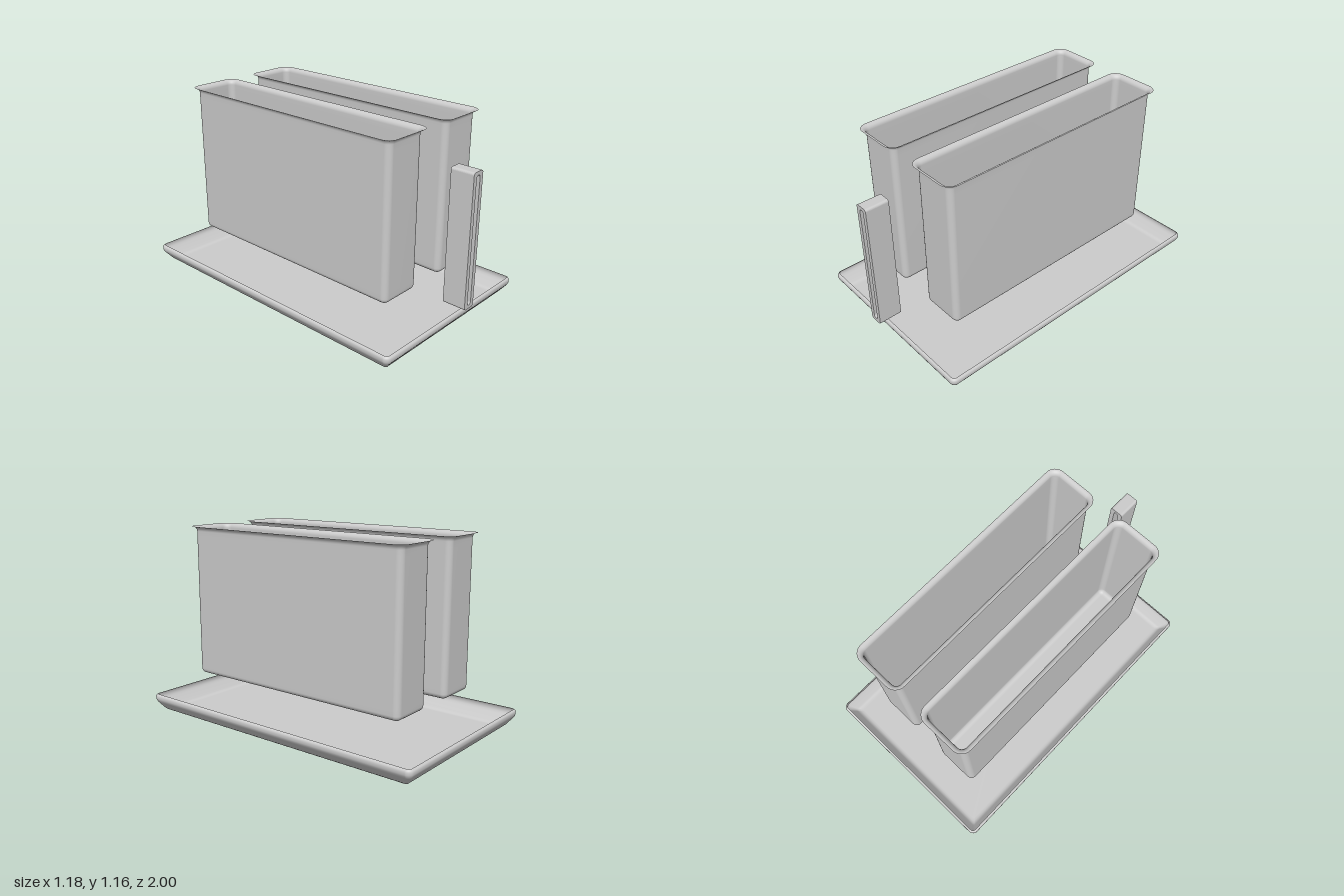
import * as THREE from 'three';

const material = new THREE.MeshStandardMaterial({ color: 0xcccccc, side: THREE.DoubleSide });

// Rounded rectangle outline, counter-clockwise
function roundedRect(halfW, halfH, radius, steps = 8) {
  const points = [];
  const centres = [[1, 1], [-1, 1], [-1, -1], [1, -1]];
  centres.forEach(([sx, sy], corner) => {
    for (let i = 0; i <= steps; i++) {
      const a = (corner + i / steps) * Math.PI / 2;
      points.push(new THREE.Vector2(
        sx * (halfW - radius) + radius * Math.cos(a),
        sy * (halfH - radius) + radius * Math.sin(a)));
    }
  });
  return points;
}

// Thin open vessel: rounded-rectangle rings along a [inset, y] profile, closed at the base
function vessel(halfW, halfD, radius, profile) {
  const positions = [0, profile[0][1], 0];
  const index = [];
  let n = 0;
  for (const [inset, y] of profile) {
    const ring = roundedRect(halfW - inset, halfD - inset, Math.max(radius - inset, 0.012));
    n = ring.length;
    ring.forEach(p => positions.push(p.x, y, -p.y));
  }
  for (let i = 0; i < n; i++) {
    const j = (i + 1) % n;
    index.push(0, 1 + j, 1 + i);
    for (let k = 0; k < profile.length - 1; k++) {
      const a = 1 + k * n + i, b = 1 + k * n + j;
      index.push(a, b, b + n, a, b + n, a + n);
    }
  }
  const geometry = new THREE.BufferGeometry();
  geometry.setAttribute('position', new THREE.Float32BufferAttribute(positions, 3));
  geometry.setIndex(index);
  geometry.computeVertexNormals();
  return geometry;
}

// Quarter-circle run of profile points
function arc(cx, cy, r, from, to, steps = 6) {
  return Array.from({ length: steps + 1 }, (_, i) => {
    const a = from + (to - from) * i / steps;
    return [cx + r * Math.cos(a), cy + r * Math.sin(a)];
  });
}

export function createModel() {
  const group = new THREE.Group();
  const add = (name, geometry, x, z) => {
    const mesh = new THREE.Mesh(geometry, material);
    mesh.name = name;
    mesh.position.set(x, 0, z);
    group.add(mesh);
  };

  // Shallow tray with sloping sides
  add('tray', vessel(0.59, 0.96, 0.035, [
    [0.08, 0.083], [0.066, 0.084], [0.056, 0.088], [0.046, 0.096],
    [0.012, 0.139], [0.004, 0.151], [0, 0.162],
    [0, 0.176], [0.004, 0.184], [0.014, 0.19],
  ]), 0, -0.04);

  // Two deep bins with rounded bases and flared rims
  const binProfile = [
    [0.034, 0.32],
    ...arc(0.03, 0.35, 0.03, Math.PI * 1.5, Math.PI),
    [0, 0.38], [0, 1.18],
    ...arc(-0.03, 1.213, 0.03, 0, Math.PI / 2),
  ].map(([inset, y]) => [inset, y]);
  for (const side of [-1, 1]) {
    add(side > 0 ? 'leftBin' : 'rightBin',
      vessel(0.135, 0.75, 0.035, binProfile), side * 0.238, -0.03);
  }

  // Upright slotted handle in front
  const shape = new THREE.Shape(roundedRect(0.041, 0.395, 0.014));
  shape.holes.push(new THREE.Path(roundedRect(0.015, 0.375, 0.0149)));
  const handle = new THREE.ExtrudeGeometry(shape, { depth: 0.14, bevelEnabled: false });
  handle.translate(0, 0.655, 0);
  add('slottedHandle', handle, 0, 0.86);

  return group;
}
